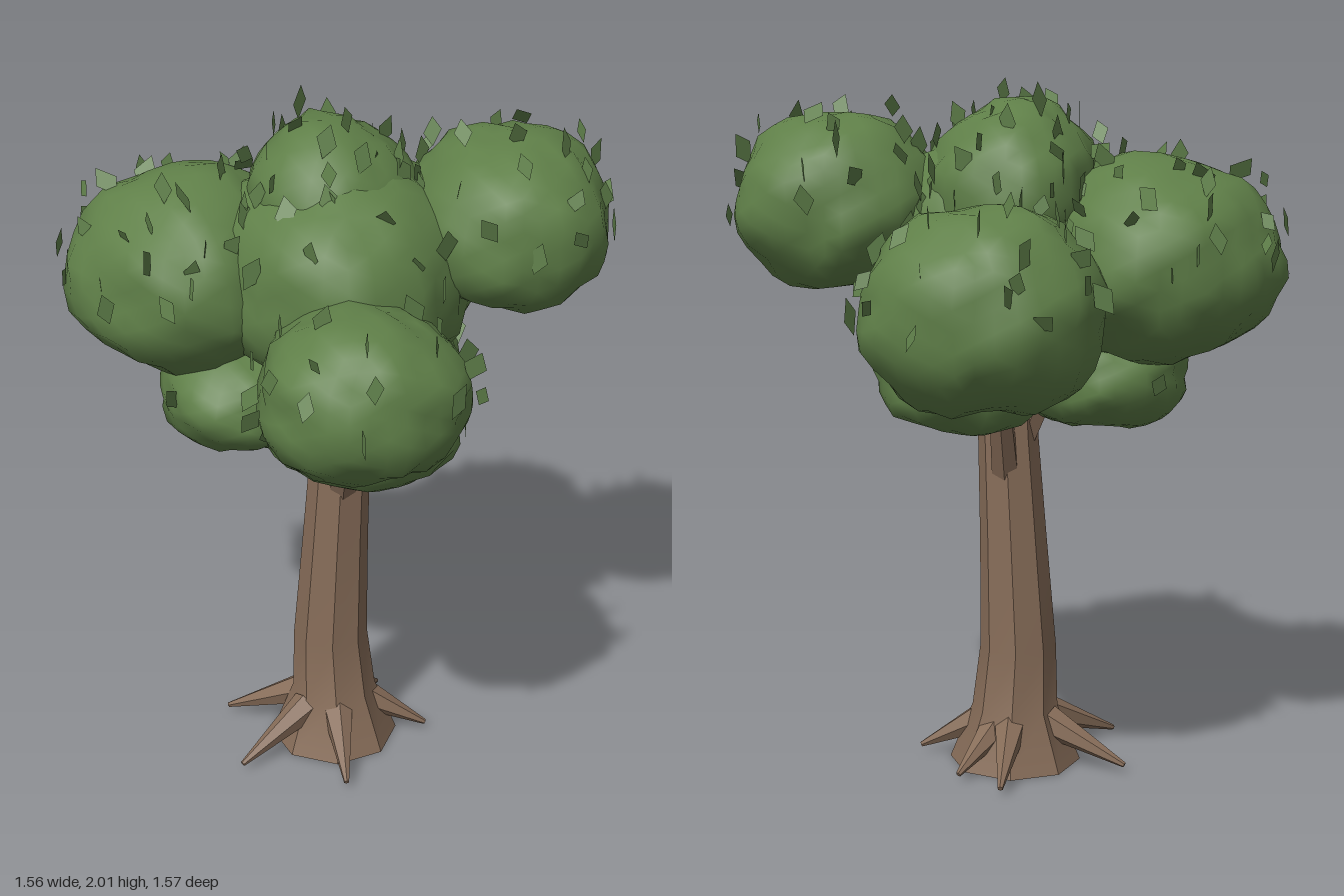
import * as THREE from 'three';
import { mergeGeometries, mergeVertices, toCreasedNormals } from 'three/addons/utils/BufferGeometryUtils.js';

const bark = new THREE.MeshStandardMaterial({ color: 0x866c58, side: THREE.DoubleSide });
bark.name = 'bark brown';
const foliage = new THREE.MeshStandardMaterial({ color: 0x5f7f48 });
foliage.name = 'foliage green';
const leafGreen = new THREE.MeshStandardMaterial({ color: 0x5f7f4a, side: THREE.DoubleSide });
leafGreen.name = 'leaf green';

// Seeded random numbers
let seed = 48271;
function rand() {
  seed = (seed * 16807) % 2147483647;
  return seed / 2147483647;
}

// Lumpy radius for a direction on a clump, fuller around the underside
function lump(d, phase) {
  const belly = 0.16 * Math.max(0, -d.y) * Math.hypot(d.x, d.z);
  return 0.995 + belly + 0.025 * Math.sin(4.1 * d.x + phase) + 0.025 * Math.sin(4.7 * d.z + 2 * phase)
    + 0.022 * Math.sin(6 * d.y + 5 * d.x + phase) + 0.02 * Math.sin(11 * d.z - 9 * d.x + 3 * phase)
    + 0.03 * Math.sin(11 * d.y + 7 * d.z + phase) * Math.sin(10 * d.x + 2 * phase);
}

function clumpPoint(d, c, phase, out) {
  const r = lump(d, phase);
  return out.set(c.pos[0] + d.x * r * c.size[0], c.pos[1] + d.y * r * c.size[1], c.pos[2] + d.z * r * c.size[2]);
}

function makeClump(c, phase) {
  let geo = new THREE.IcosahedronGeometry(1, 5);
  geo.deleteAttribute('normal');
  geo.deleteAttribute('uv');
  geo = mergeVertices(geo, 1e-4);
  const p = geo.attributes.position;
  const d = new THREE.Vector3();
  const v = new THREE.Vector3();
  for (let i = 0; i < p.count; i++) {
    d.fromBufferAttribute(p, i).normalize();
    clumpPoint(d, c, phase, v);
    p.setXYZ(i, v.x, v.y, v.z);
  }
  geo.computeVertexNormals();
  return new THREE.Mesh(geo, foliage);
}

// Diamond leaves spread evenly, with jitter, over the upper part of a clump
function makeLeaves(c, phase) {
  const diamond = new THREE.Shape([[0, -0.045], [0.028, 0.006], [0, 0.045], [-0.028, -0.006]].map(q => new THREE.Vector2(...q)));
  const leaves = [];
  const dummy = new THREE.Object3D();
  for (let i = 0; i < c.leaves; i++) {
    const y = -0.15 + 1.12 * (i + rand()) / c.leaves;
    const a = i * 2.4 + rand() * 0.9 + phase;
    const h = Math.sqrt(1 - y * y);
    const d = new THREE.Vector3(Math.cos(a) * h, y, Math.sin(a) * h);
    clumpPoint(d, c, phase, dummy.position);
    dummy.position.addScaledVector(d, 0.04 * rand());
    dummy.rotation.set(rand() * 1.6 - 0.8, rand() * 6.28, rand() * 1.4 - 0.7);
    dummy.scale.setScalar(0.75 + 0.4 * rand());
    dummy.updateMatrix();
    leaves.push(new THREE.ShapeGeometry(diamond).applyMatrix4(dummy.matrix));
  }
  return new THREE.Mesh(mergeGeometries(leaves), leafGreen);
}

// Tapered limb between two points
function makeLimb(from, to, r0, r1) {
  const a = new THREE.Vector3(...from);
  const b = new THREE.Vector3(...to);
  const dir = b.clone().sub(a);
  const mesh = new THREE.Mesh(toCreasedNormals(new THREE.CylinderGeometry(r1, r0, dir.length(), 6), 0.7), bark);
  mesh.position.copy(a).add(b).multiplyScalar(0.5);
  mesh.quaternion.setFromUnitVectors(new THREE.Vector3(0, 1, 0), dir.normalize());
  return mesh;
}

// Leaning trunk lofted from rings: y, centre x, centre z, radius
function makeTrunk() {
  const rings = [
    [0.01, 0, 0.06, 0.195], [0.18, 0, 0.055, 0.127], [0.37, -0.01, 0.05, 0.112],
    [0.7, 0.005, 0.052, 0.098], [1.0, 0.02, 0.055, 0.088], [1.3, 0.03, 0.055, 0.08],
  ];
  const sides = 8;
  const geo = new THREE.CylinderGeometry(1, 1, 1, sides, rings.length - 1, true);
  const p = geo.attributes.position;
  for (let i = 0; i < p.count; i++) {
    const [y, cx, cz, r] = rings[rings.length - 1 - Math.floor(i / (sides + 1))];
    p.setXYZ(i, cx + p.getX(i) * r, y, cz + p.getZ(i) * r);
  }
  return new THREE.Mesh(toCreasedNormals(geo, 0.7), bark);
}

export function createModel() {
  const tree = new THREE.Group();
  tree.name = 'tree';
  const add = (mesh, name) => {
    mesh.name = name;
    tree.add(mesh);
  };

  add(makeTrunk(), 'trunk');

  // Roots spreading to the ground
  const tips = [[0.285, 0.08], [0.02, 0.38], [-0.29, 0.27], [-0.33, -0.05], [0.02, -0.26], [0.15, -0.16]];
  tips.forEach(([x, z], i) => {
    add(makeLimb([x * 0.3, 0.14, 0.055 + (z - 0.055) * 0.3], [x, 0.035, z], 0.05, 0.008), `root${i + 1}`);
  });

  // Branches rising into the crown: start height, end point
  const branches = [[0.98, 0.3, 1.55, 0.03], [0.86, 0.03, 1.3, 0.33], [0.95, -0.25, 1.5, 0.03], [0.86, 0.04, 1.35, -0.2]];
  branches.forEach(([y0, x, y, z], i) => {
    add(makeLimb([0.02 + x * 0.08, y0, 0.055 + (z - 0.055) * 0.12], [x, y, z], 0.045, 0.025), `branch${i + 1}`);
  });

  // Crown clumps
  const clumps = [
    { name: 'core', pos: [0.02, 1.56, 0.04], size: [0.38, 0.31, 0.38], leaves: 24 },
    { name: 'top', pos: [0, 1.71, -0.03], size: [0.25, 0.26, 0.3], leaves: 42 },
    { name: 'leftHigh', pos: [0.49, 1.69, 0], size: [0.285, 0.25, 0.315], leaves: 28 },
    { name: 'right', pos: [-0.41, 1.535, -0.07], size: [0.335, 0.275, 0.37], leaves: 48 },
    { name: 'front', pos: [0.05, 1.39, 0.49], size: [0.285, 0.22, 0.285], leaves: 28 },
    { name: 'back', pos: [0.05, 1.43, -0.39], size: [0.315, 0.275, 0.325], leaves: 42 },
    { name: 'lowerFront', pos: [0.07, 1.2, 0.28], size: [0.27, 0.17, 0.24], leaves: 10 },
    { name: 'lowerLeft', pos: [0.13, 1.22, -0.1], size: [0.25, 0.17, 0.24], leaves: 10 },
    { name: 'lowerRight', pos: [-0.25, 1.205, 0.05], size: [0.24, 0.165, 0.25], leaves: 10 },
  ];
  clumps.forEach((c, i) => {
    const phase = 1.3 + i * 1.9;
    add(makeClump(c, phase), `${c.name}Clump`);
    add(makeLeaves(c, phase), `${c.name}Leaves`);
  });
  return tree;
}
